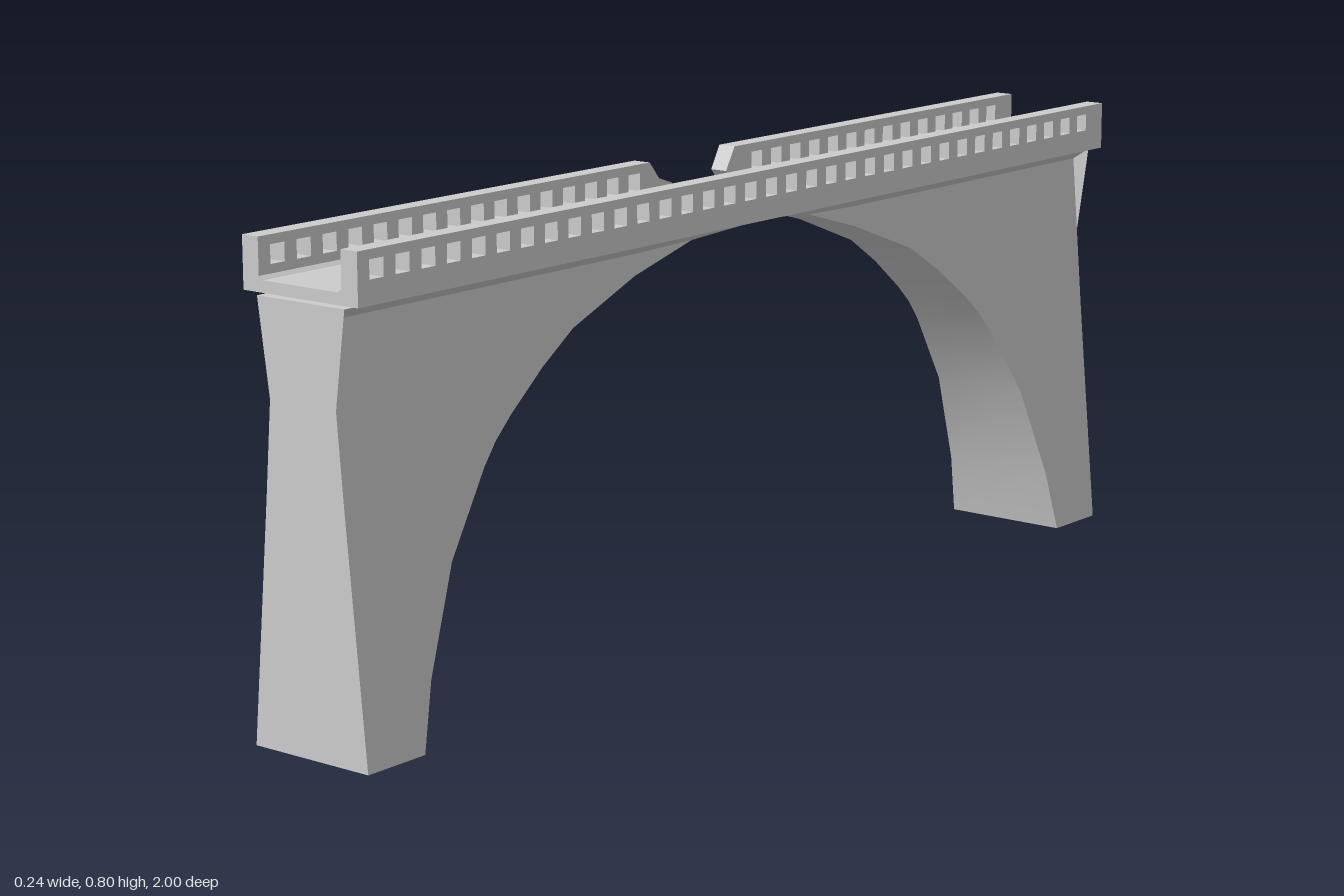
import * as THREE from 'three';
import { toCreasedNormals } from 'three/addons/utils/BufferGeometryUtils.js';

const { lerp } = THREE.MathUtils;
const grey = new THREE.MeshStandardMaterial({ color: 0xcccccc, side: THREE.DoubleSide });

function addMesh(group, geometry, name) {
  const mesh = new THREE.Mesh(toCreasedNormals(geometry, 0.5), grey);
  mesh.name = name;
  group.add(mesh);
  return mesh;
}

// Piecewise-linear lookup in a list of [key, value]
function lookup(table, key) {
  for (let i = 1; i < table.length; i++) {
    const [k0, v0] = table[i - 1], [k1, v1] = table[i];
    if (key <= k1) return lerp(v0, v1, Math.max(0, (key - k0) / (k1 - k0)));
  }
  return table[table.length - 1][1];
}

// Half width of the masonry by height, and how far the broken side may reach
const TAPER = [[0, 0.118], [0.4, 0.081], [0.685, 0.057], [0.705, 0.09]];
const BREAK = [[-0.125, 0.2], [-0.12, 0.09], [-0.085, 0.055], [-0.05, 0.09], [-0.045, 0.2]];

// Arch stations: intrados [z, y] and matching outer point [z, y]
const HALF = [
  [0.875, 0, 1, 0], [0.848, 0.11, 1, 0.11], [0.78, 0.28, 1, 0.28], [0.69, 0.41, 1, 0.4],
  [0.66, 0.445, 1, 0.55], [0.62, 0.48, 1, 0.685], [0.54, 0.54, 0.75, 0.685],
  [0.46, 0.59, 0.52, 0.685], [0.3, 0.65, 0.3, 0.685], [0.16, 0.69, 0.16, 0.69],
];
const CROWN = [0.05, 0, -0.05, -0.085, -0.12].map((z) => [z, 0.703 - 0.5 * z * z, z, 0.704]);

// Tapered arch and legs, lofted from foot to foot
function archGeometry() {
  const mirrored = HALF.map(([z, y, oz, oy]) => [-z, y, -oz, oy]).reverse();
  const stations = [...HALF, ...CROWN, ...mirrored];
  const rows = 5;
  const count = (rows + 2) * 2;
  const positions = [], index = [];
  for (const [z, y, oz, oy] of stations) {
    const side = [];
    for (let r = 0; r <= rows; r++) side.push([lerp(z, oz, r / rows), lerp(y, oy, r / rows)]);
    side.push([oz, oy >= 0.685 ? 0.706 : oy]); // flare below the deck
    for (const [pz, py] of side) positions.push(lookup(TAPER, py), py, pz);
    for (const [pz, py] of side.reverse()) {
      positions.push(-Math.min(lookup(TAPER, py), lookup(BREAK, pz)), py, pz);
    }
  }
  for (let i = 0; i < stations.length - 1; i++) {
    for (let j = 0; j < count; j++) {
      const a = i * count + j, b = i * count + (j + 1) % count;
      index.push(a, a + count, b, b, a + count, b + count);
    }
  }
  // Soles of the two feet
  const last = (stations.length - 1) * count;
  for (let k = 1; k < count - 1; k++) {
    index.push(0, k, k + 1, last, last + k + 1, last + k);
  }
  const geometry = new THREE.BufferGeometry();
  geometry.setAttribute('position', new THREE.Float32BufferAttribute(positions, 3));
  geometry.setIndex(index);
  return geometry;
}

// Deck slab from its plan [x, z], with the broken notch on the right edge
function deckGeometry() {
  const plan = [
    [-0.118, 1], [0.118, 1], [0.118, -1], [-0.118, -1],
    [-0.118, -0.125], [-0.095, -0.1], [-0.055, -0.08], [-0.09, -0.065], [-0.118, -0.045],
  ];
  const shape = new THREE.Shape(plan.map(([x, z]) => new THREE.Vector2(x, -z)));
  const geometry = new THREE.ExtrudeGeometry(shape, { depth: 0.025, bevelEnabled: false });
  geometry.rotateX(-Math.PI / 2).translate(0, 0.705, 0);
  // Underside and outer rim: keep the rim low and the walkway higher
  const p = geometry.attributes.position;
  for (let i = 0; i < p.count; i++) {
    if (p.getY(i) < 0.71 && Math.abs(p.getX(i)) > 0.1) p.setY(i, 0.711);
  }
  return geometry;
}

// Parapet wall from its elevation [z, y], pierced by a row of square openings
function parapetGeometry(outline, x, zMin, zMax) {
  const shape = new THREE.Shape(outline.map(([z, y]) => new THREE.Vector2(-z, y)));
  const r = 0.015;
  for (let i = 0; i < 35; i++) {
    const z = 0.96 - i * 0.0556;
    if (z - r < zMin || z + r > zMax) continue;
    shape.holes.push(new THREE.Path([[-r, -r], [-r, r], [r, r], [r, -r]]
      .map(([dx, dy]) => new THREE.Vector2(-z + dx, 0.765 + dy))));
  }
  const geometry = new THREE.ExtrudeGeometry(shape, { depth: 0.033, bevelEnabled: false });
  return geometry.rotateY(Math.PI / 2).translate(x, 0, 0);
}

export function createModel() {
  const model = new THREE.Group();
  model.name = 'archBridge';
  addMesh(model, archGeometry(), 'archAndLegs');
  addMesh(model, deckGeometry(), 'deck');

  const low = 0.711, top = 0.795;
  addMesh(model, parapetGeometry(
    [[1, low], [1, top], [-1, top], [-1, low]], 0.085, -1, 1), 'leftParapet');
  addMesh(model, parapetGeometry(
    [[1, low], [1, top], [0.085, top], [0.06, 0.765], [0.03, 0.755], [-0.01, 0.735], [-0.045, low]],
    -0.118, 0.1, 1), 'rightParapetFront');
  addMesh(model, parapetGeometry(
    [[-0.125, low], [-0.14, 0.735], [-0.122, 0.755], [-0.145, top], [-1, top], [-1, low]],
    -0.118, -1, -0.15), 'rightParapetBack');

  // Sloped kerbs where the walkway meets the parapets
  for (const [side, z0, z1] of [[1, 1, -1], [-1, 1, 0], [-1, -0.15, -1]]) {
    const kerb = new THREE.Shape([[0.088, 0.729], [0.076, 0.729], [0.088, 0.738]]
      .map(([x, y]) => new THREE.Vector2(side * x, y)));
    const geometry = new THREE.ExtrudeGeometry(kerb, { depth: z0 - z1, bevelEnabled: false });
    addMesh(model, geometry.translate(0, 0, z1), side > 0 ? 'leftKerb' : 'rightKerb');
  }
  return model;
}
